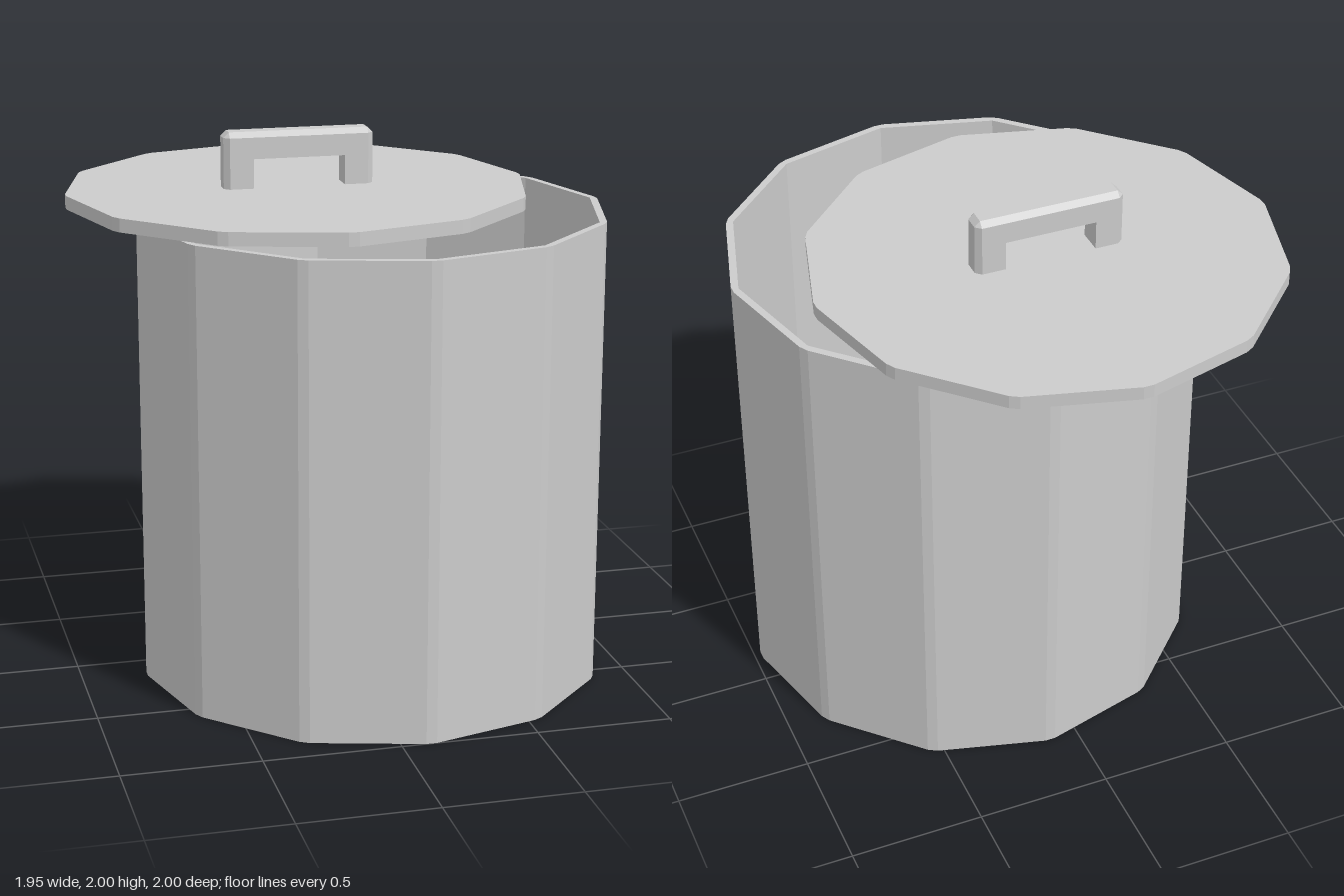
import * as THREE from 'three';

const material = new THREE.MeshStandardMaterial({ color: 0xcccccc, flatShading: true });

// Twelve-sided outline; every corner is cut back by `cut` along both sides.
function dodecagon(radius, cut) {
  const corner = (i) => new THREE.Vector2(radius, 0).rotateAround(new THREE.Vector2(), (i * Math.PI) / 6);
  const toward = (from, to) => to.clone().sub(from).setLength(cut).add(from);
  const points = [];
  for (let i = 0; i < 12; i++) {
    const c = corner(i);
    if (cut > 0) points.push(toward(c, corner(i - 1)), toward(c, corner(i + 1)));
    else points.push(c);
  }
  return points;
}

// Upright prism from an outline, with an optional hole.
function prism(name, outline, hole, bottom, top) {
  const shape = new THREE.Shape(outline);
  if (hole) shape.holes.push(new THREE.Path(hole));
  const geometry = new THREE.ExtrudeGeometry(shape, { depth: top - bottom, bevelEnabled: false });
  geometry.rotateX(-Math.PI / 2).translate(0, bottom, 0);
  const mesh = new THREE.Mesh(geometry, material);
  mesh.name = name;
  return mesh;
}

// Arched handle: a section with chamfered outer edges swept over a square arch.
function handleGeometry() {
  const H = 0.048, h = 0.028;
  // Each station: inner edge, chamfer start and outer edge as [x, y]
  const right = [
    [[0.173, 1.78], [0.262, 1.78], [0.283, 1.78]],
    [[0.173, 1.9], [0.262, 1.98], [0.283, 1.98]],
    [[0.173, 1.9], [0.262, 1.98], [0.262, 2.0]],
  ];
  const left = right.map((s) => s.map(([x, y]) => [-x, y])).reverse();
  const rings = [...right, ...left].map(([i, m, o]) => [
    [...i, -H], [...i, H], [...m, H], [...o, h], [...o, -h], [...m, -H],
  ]);
  const positions = [];
  for (let s = 0; s < rings.length - 1; s++) {
    for (let k = 0; k < 6; k++) {
      const n = (k + 1) % 6;
      const a = rings[s][k], b = rings[s][n], c = rings[s + 1][n], d = rings[s + 1][k];
      positions.push(...a, ...b, ...c, ...a, ...c, ...d);
    }
  }
  const geometry = new THREE.BufferGeometry();
  geometry.setAttribute('position', new THREE.Float32BufferAttribute(positions, 3));
  geometry.computeVertexNormals();
  return geometry;
}

export function createModel() {
  const model = new THREE.Group();
  model.name = 'lidded pot';
  const outline = dodecagon(0.87, 0.02);

  // Open pot: floor and thin wall
  const pot = new THREE.Group();
  pot.name = 'pot';
  pot.add(
    prism('potFloor', outline, null, 0, 0.025),
    prism('potWall', outline, dodecagon(0.842, 0), 0.025, 1.74),
  );
  pot.position.set(0.108, 0, 0.135);

  // Lid pushed aside, carrying its handle
  const lid = new THREE.Group();
  lid.name = 'lid';
  const handle = new THREE.Mesh(handleGeometry(), material);
  handle.name = 'lidHandle';
  lid.add(prism('lidPlate', outline, null, 1.74, 1.79), handle);
  lid.position.set(-0.108, 0, -0.135);

  model.add(pot, lid);
  return model;
}
